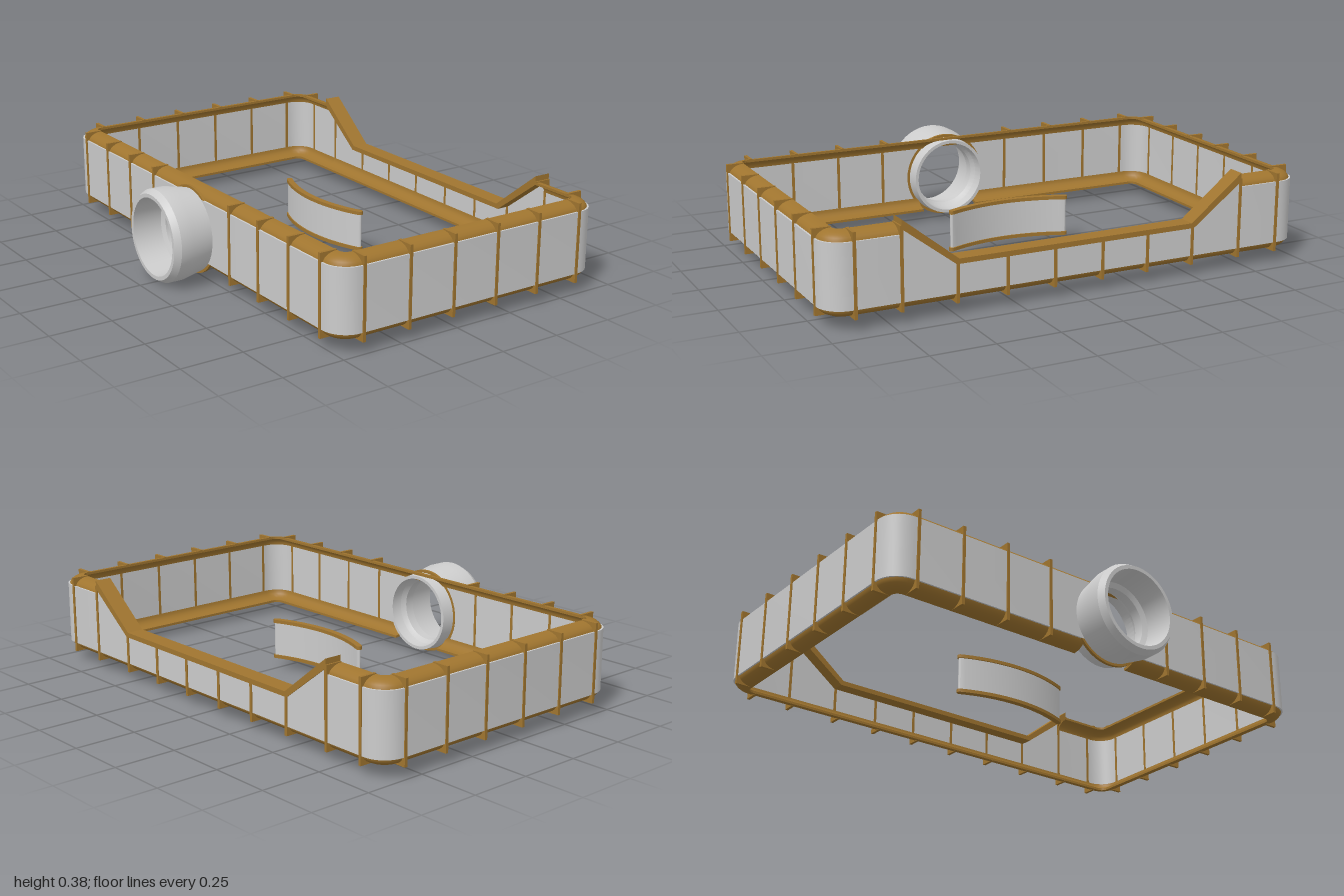
import * as THREE from 'three';
import { toCreasedNormals } from 'three/addons/utils/BufferGeometryUtils.js';

const grey = new THREE.MeshStandardMaterial({ color: 0xcccccc });
const brown = new THREE.MeshStandardMaterial({ color: 0xa0752f });

const XL = -0.525, XR = 0.685, ZE = 1, R = 0.1; // outer frame and corner radius
const Y0 = 0.05, Y1 = 0.365, LOW = 0.2, CUT = 0.71; // heights, start of the lowered side
const PIPE_Y = 0.19, HOLE = 0.163;

// Path stations: arc centre (or its straight continuation) and outward normal
function halfPath(s, zEnd) {
  const st = [{ x: XR - R, z: s * CUT, nx: 1, nz: 0 }];
  for (const [cx, a0] of [[XR - R, 0], [XL + R, Math.PI / 2]]) {
    for (let i = 0; i <= 10; i++) {
      const a = a0 + (i / 10) * Math.PI / 2;
      st.push({ x: cx, z: s * (ZE - R), nx: Math.cos(a), nz: s * Math.sin(a) });
    }
  }
  st.push({ x: XL + R, z: s * zEnd, nx: -1, nz: 0 });
  return s > 0 ? st : st.reverse();
}

// Sweep a closed profile of [inward offset, y] along the stations, with end caps
function sweep(profile, path) {
  const pts = profile.map(([d, y]) => new THREE.Vector2(d, y));
  if (THREE.ShapeUtils.isClockWise(pts)) pts.reverse();
  const n = pts.length, pos = [], idx = [];
  for (const p of path) for (const q of pts) {
    pos.push(p.x + (R - q.x) * p.nx, q.y, p.z + (R - q.x) * p.nz);
  }
  for (let i = 0; i < path.length - 1; i++) for (let j = 0; j < n; j++) {
    const a = i * n + j, c = i * n + (j + 1) % n;
    idx.push(a, a + n, c, a + n, c + n, c);
  }
  const end = (path.length - 1) * n;
  for (const [a, b, c] of THREE.ShapeUtils.triangulateShape(pts, [])) {
    idx.push(a, b, c, end + a, end + c, end + b);
  }
  const g = new THREE.BufferGeometry();
  g.setAttribute('position', new THREE.Float32BufferAttribute(pos, 3));
  g.setIndex(idx);
  return toCreasedNormals(g, 0.6);
}

// Quarter-round from the wall face to the inner lip; top or bottom edge
function curve(top, d0, h, d1 = 0.07) {
  const out = [];
  for (let i = 0; i <= 6; i++) {
    const a = (i / 6) * Math.PI / 2;
    const k = h * Math.sin(a);
    out.push([d1 - (d1 - d0) * Math.cos(a), top ? Y1 - h + k : Y0 + h - k]);
  }
  return out;
}
const railProfile = (top) => {
  const outer = curve(top, 0.01, 0.038);
  const inner = curve(top, 0.021, 0.038).map(([d, y]) => [d, y + (top ? -0.01 : 0.01)]);
  return [...outer, ...inner.reverse()];
};
const panelProfile = [[0.004, 0.085], [0.016, 0.085], [0.016, 0.333], [0.004, 0.333]];

const shapeOf = (pts) => new THREE.Shape(pts.map(([x, y]) => new THREE.Vector2(x, y)));

// Extrude a (z, y) outline along x, between x0 and x1
function extrudeSide(shape, x0, x1) {
  const g = new THREE.ExtrudeGeometry(shape, { depth: x1 - x0, bevelEnabled: false, curveSegments: 16 });
  return g.rotateY(-Math.PI / 2).translate(x1, 0, 0);
}

// Curved band in plan, round ended, between two heights
function arcBand(t, y0, y1) {
  const rad = 0.619, cx = 0.055 + rad, half = 0.42, h = t / 2;
  const at = (a, r) => [cx - r * Math.cos(a), r * Math.sin(a)];
  const pts = [];
  for (let i = 0; i <= 24; i++) pts.push(at(-half + (i / 24) * 2 * half, rad + h));
  for (let i = 1; i < 6; i++) {
    const b = (i / 6) * Math.PI;
    pts.push(at(half + h * Math.sin(b) / rad, rad + h * Math.cos(b)));
  }
  for (let i = 24; i >= 0; i--) pts.push(at(-half + (i / 24) * 2 * half, rad - h));
  for (let i = 1; i < 6; i++) {
    const b = (i / 6) * Math.PI;
    pts.push(at(-half - h * Math.sin(b) / rad, rad - h * Math.cos(b)));
  }
  const g = new THREE.ExtrudeGeometry(shapeOf(pts), { depth: y1 - y0, bevelEnabled: false });
  return toCreasedNormals(g.rotateX(-Math.PI / 2).translate(0, y0, 0), 0.6);
}

export function createModel() {
  const model = new THREE.Group();
  const add = (name, geo, mat, parent = model) => {
    const m = new THREE.Mesh(geo, mat);
    m.name = name;
    parent.add(m);
    return m;
  };

  // Wall panels and rounded edge rails, each half mirrored
  for (const s of [1, -1]) {
    add('wallPanel', sweep(panelProfile, halfPath(s, 0.29)), grey);
    add('topRail', sweep(railProfile(true), halfPath(s, 0)), brown);
    add('bottomRail', sweep(railProfile(false), halfPath(s, 0.125)), brown);

    // Panel cut out around the pipe
    const lo = Math.asin((0.085 - PIPE_Y) / HOLE), hi = Math.asin((0.333 - PIPE_Y) / HOLE);
    const pts = [[s * 0.29, 0.333], [s * 0.29, 0.085]];
    for (let i = 0; i <= 16; i++) {
      const a = lo + (i / 16) * (hi - lo);
      pts.push([s * HOLE * Math.cos(a), PIPE_Y + HOLE * Math.sin(a)]);
    }
    add('pipeSidePanel', extrudeSide(shapeOf(pts), XL + 0.004, XL + 0.016), grey);
  }

  // Lowered side: panel, bottom rail and flat capping with sloping ends
  const low = shapeOf([[-CUT, 0.085], [CUT, 0.085], [CUT, 0.36], [0.495, LOW], [-0.495, LOW], [-CUT, 0.36]]);
  add('lowPanel', extrudeSide(low, XR - 0.016, XR - 0.004), grey);
  const straight = [-CUT, CUT].map((z) => ({ x: XR - R, z, nx: 1, nz: 0 }));
  add('lowBottomRail', sweep(railProfile(false), straight), brown);
  const cap = shapeOf([[-CUT, 0.355], [-0.5, 0.197], [0.5, 0.197], [CUT, 0.355],
    [CUT, 0.39], [0.49, 0.217], [-0.49, 0.217], [-CUT, 0.39]]);
  add('lowCapping', extrudeSide(cap, XR - 0.07, XR), brown);

  // Ribs: thin plates filling the square corners outside the rounded rails
  const ribGeo = (pts) => new THREE.ExtrudeGeometry(shapeOf(pts), { depth: 0.012, bevelEnabled: false })
    .translate(0, 0, -0.006);
  const foot = curve(false, 0.017, 0.038);
  const tallRib = ribGeo([[0, Y0], [0, Y1 + 0.003], [0.07, Y1 + 0.003], ...curve(true, 0.017, 0.038).reverse(), ...foot]);
  const shortRib = ribGeo([[0, Y0], [0, LOW], [0.017, LOW], ...foot]);
  const ribs = new THREE.Group();
  ribs.name = 'ribs';
  model.add(ribs);
  const rib = (geo, x, z, turn) => {
    const m = add('rib', geo, brown, ribs);
    m.position.set(x, 0, z);
    m.rotation.y = turn;
  };
  for (let i = 0; i < 6; i++) {
    const x = -0.413 + i * 0.198;
    rib(tallRib, x, ZE, Math.PI / 2);
    rib(tallRib, x, -ZE, -Math.PI / 2);
  }
  for (const s of [1, -1]) {
    for (const z of [0.885, 0.69, 0.49, 0.29]) rib(tallRib, XL, s * z, 0);
    for (const z of [0.885, CUT]) rib(tallRib, XR, s * z, Math.PI);
    for (const z of [0.495, 0.295, 0.1]) rib(shortRib, XR, s * z, Math.PI);
  }

  // Pipe socket through the wall, turned about the x axis: [radius, x]
  const lathe = (pts) => toCreasedNormals(
    new THREE.LatheGeometry(pts.map(([r, x]) => new THREE.Vector2(r, x)), 48)
      .rotateZ(-Math.PI / 2).translate(0, PIPE_Y, 0), 0.5);
  const socket = lathe([[0.155, -0.69], [0.17, -0.69], [0.185, -0.665], [0.185, -0.61], [0.166, -0.52],
    [0.16, -0.455], [0.147, -0.455], [0.143, -0.5], [0.13, -0.52], [0.13, -0.56], [0.15, -0.57], [0.155, -0.69]]);
  const pipeMat = grey.clone();
  pipeMat.side = THREE.DoubleSide;
  add('pipeSocket', socket, pipeMat);
  const collarMat = brown.clone();
  collarMat.side = THREE.DoubleSide;
  add('pipeCollar', lathe([[0.16, -0.52], [0.176, -0.52], [0.176, -0.508], [0.16, -0.508], [0.16, -0.52]]), collarMat);

  // Freestanding curved baffle
  add('bafflePanel', arcBand(0.014, 0.06, 0.205), grey);
  add('baffleBottomStrip', arcBand(0.024, 0.05, 0.064), brown);
  add('baffleTopStrip', arcBand(0.024, 0.201, 0.215), brown);

  return model;
}
